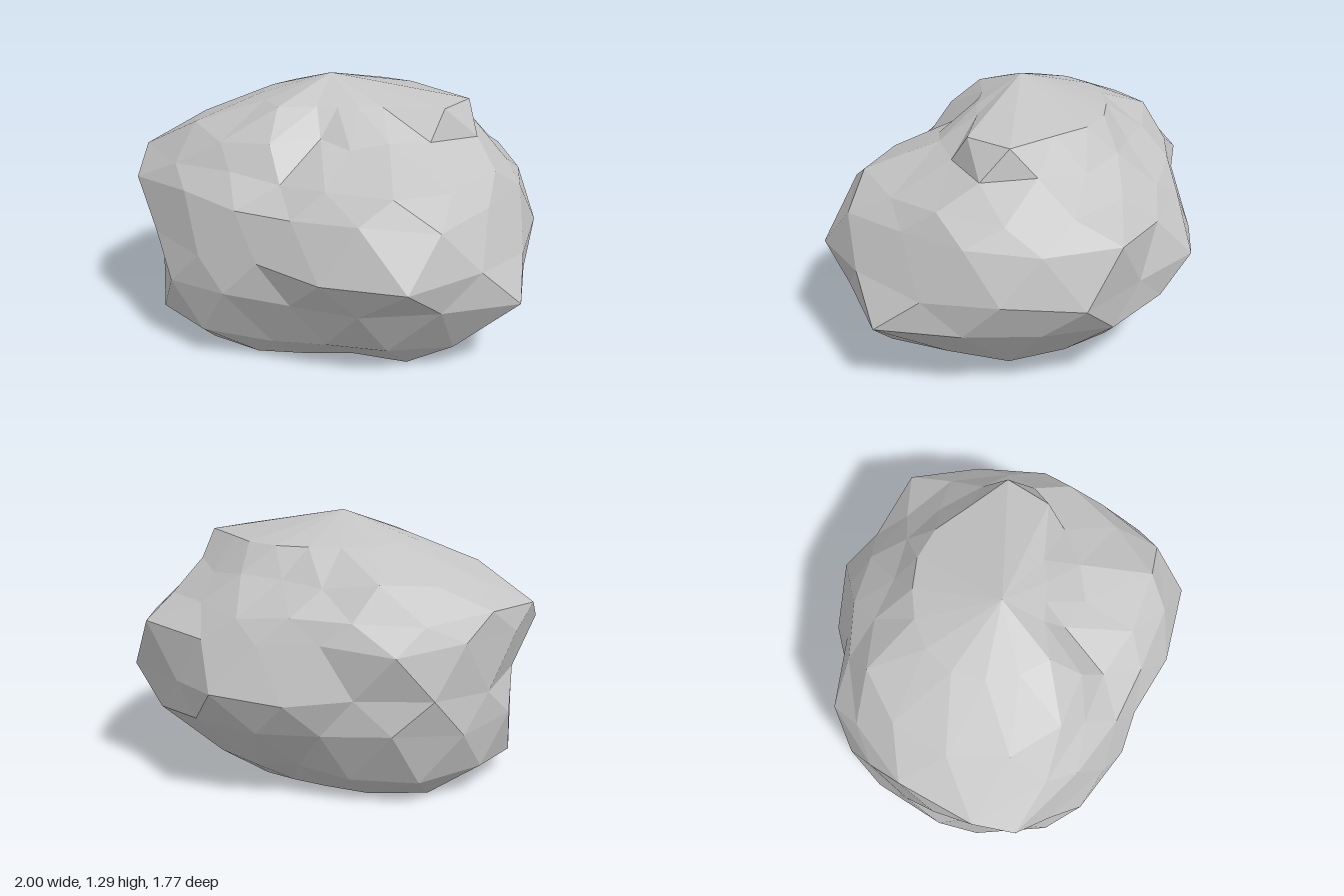
import * as THREE from 'three';

// Cross-sections from the ground up: height, then outline radius at 16 bearings
// running from +x round through +z. Every second ring is turned by half a step.
const RINGS = [
  { y: 0, r: [0.5, 0.55, 0.67, 0.51, 0.54, 0.64, 0.73, 0.75, 0.72, 0.71, 0.57, 0.45, 0.41, 0.42, 0.45, 0.46] },
  { y: 0.13, r: [0.77, 0.84, 0.76, 0.7, 0.69, 0.86, 0.94, 0.93, 0.9, 0.82, 0.67, 0.57, 0.58, 0.62, 0.67, 0.71] },
  { y: 0.37, r: [0.94, 1.08, 0.97, 0.85, 0.79, 0.86, 0.94, 0.93, 0.96, 0.93, 0.86, 0.74, 0.78, 0.84, 0.88, 0.9] },
  { y: 0.54, r: [0.98, 1.01, 1.04, 0.9, 0.81, 0.87, 0.96, 0.93, 0.93, 0.93, 0.78, 0.83, 0.905, 0.85, 0.99, 0.97] },
  { y: 0.78, r: [0.9, 0.88, 0.95, 0.86, 0.76, 0.77, 0.85, 1.04, 0.98, 0.93, 0.89, 0.74, 0.77, 0.8, 0.94, 0.9] },
  { y: 0.89, r: [0.82, 0.8, 0.82, 0.68, 0.6, 0.68, 0.85, 1.02, 0.94, 0.85, 0.74, 0.7, 0.71, 0.71, 0.79, 0.81] },
  { y: 1.03, r: [0.68, 0.54, 0.47, 0.44, 0.35, 0.53, 0.66, 0.74, 0.76, 0.74, 0.68, 0.58, 0.51, 0.56, 0.6, 0.65] },
  { y: 1.17, r: [0.55, 0.3, 0.26, 0.24, 0.26, 0.4, 0.4, 0.41, 0.42, 0.41, 0.39, 0.39, 0.42, 0.45, 0.48, 0.62] },
];
const SIDES = 16;

function createRockGeometry() {
  const points = [];
  RINGS.forEach(({ y, r }, k) => {
    // the ground and crown rings stay level, the others waver a little
    const waver = k > 0 && k < RINGS.length - 1 ? 0.018 : 0;
    r.forEach((radius, i) => {
      const a = (i + (k % 2) / 2) * 2 * Math.PI / SIDES;
      points.push(radius * Math.cos(a), y + waver * Math.sin(i * 2.3 + k * 1.7), radius * Math.sin(a));
    });
  });
  const under = points.length / 3;
  const apex = under + 1;
  points.push(0, 0, 0, -0.05, 1.29, 0.05);

  const faces = [];
  const top = RINGS.length - 1;
  const at = (k, i) => k * SIDES + i % SIDES;
  for (let i = 0; i < SIDES; i++) {
    // flanks: staggered triangles between neighbouring rings
    for (let k = 0; k < top; k++) {
      const a = at(k, i), a2 = at(k, i + 1), b = at(k + 1, i), b2 = at(k + 1, i + 1);
      if (k % 2 === 0) faces.push(a2, a, b, a2, b, b2);
      else faces.push(a, b, b2, a2, a, b2);
    }
    // underside and crown
    faces.push(at(0, i), at(0, i + 1), under);
    faces.push(at(top, i + 1), at(top, i), apex);
  }

  const indexed = new THREE.BufferGeometry();
  indexed.setAttribute('position', new THREE.Float32BufferAttribute(points, 3));
  indexed.setIndex(faces);
  const geometry = indexed.toNonIndexed();
  geometry.computeVertexNormals();
  return geometry;
}

export function createModel() {
  const stone = new THREE.MeshStandardMaterial({ color: 0xc4c4c4 });
  stone.name = 'stone grey';
  stone.flatShading = true;

  const rock = new THREE.Mesh(createRockGeometry(), stone);
  rock.name = 'rock';
  const group = new THREE.Group();
  group.name = 'boulder';
  group.add(rock);
  return group;
}
